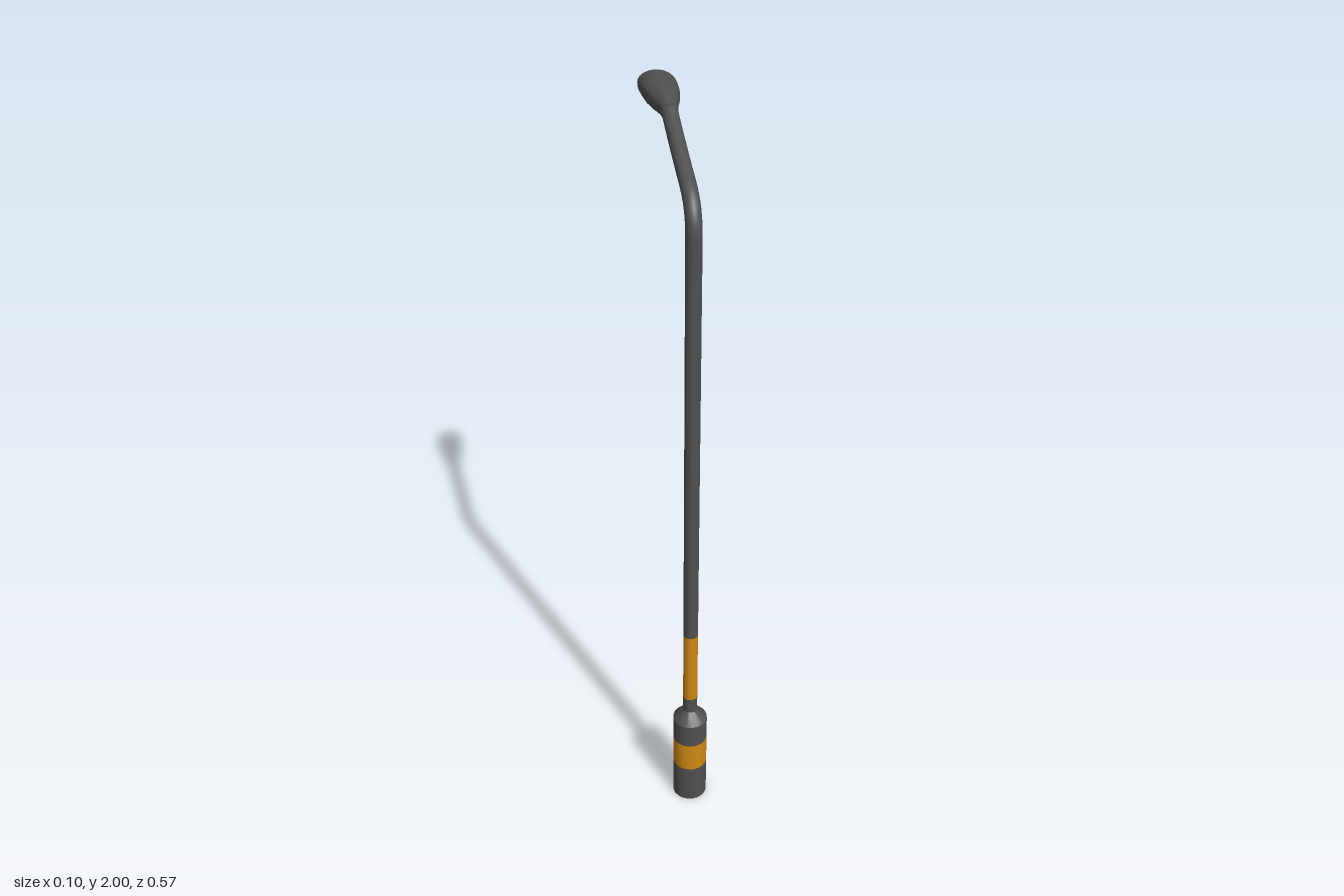
import * as THREE from 'three';
import { toCreasedNormals } from 'three/addons/utils/BufferGeometryUtils.js';

const POLE_Z = 0.235;
const POLE_R = 0.02;
const BASE_R = 0.048;

const dark = new THREE.MeshStandardMaterial({ color: 0x505050 });
const orange = new THREE.MeshStandardMaterial({ color: 0xd08a14 });

function addMesh(group, name, geometry, material, z = 0) {
  const mesh = new THREE.Mesh(geometry, material);
  mesh.name = name;
  mesh.position.z = z;
  group.add(mesh);
}

// Turned part from [radius, height] pairs
function turned(profile, sides) {
  const points = profile.map(([r, y]) => new THREE.Vector2(r, y));
  return toCreasedNormals(new THREE.LatheGeometry(points, sides), 0.5);
}

// One closed lamp-head section, with an optional recess of depth d in its flat underside
function headSection({ z, w, top, bottom, d }) {
  const mid = bottom + (top - bottom) * 0.48;
  const points = [];
  const arc = (from, to, steps, halfWidth, height, cx) => {
    for (let i = 0; i <= steps; i++) {
      const a = from + ((to - from) * i) / steps;
      points.push([cx + halfWidth * Math.cos(a), mid + height * Math.sin(a), z]);
    }
  };
  const round = w * 0.3;
  arc(0, Math.PI, 12, w, top - mid, 0);
  arc(Math.PI * 1.1, Math.PI * 1.5, 4, round, mid - bottom, round - w);
  const rim = w * 0.68, inner = w * 0.64;
  points.push([-rim, bottom, z], [-inner, bottom + d, z], [inner, bottom + d, z], [rim, bottom, z]);
  arc(Math.PI * 1.5, Math.PI * 1.9, 4, round, mid - bottom, w - round);
  return points;
}

// Joins the sections from neck to tip and closes both ends
function headGeometry() {
  const rows = [
    // z, half width, top, bottom, recess depth
    [-0.055, 0.020, 1.985, 1.944, 0],
    [-0.080, 0.0235, 1.992, 1.947, 0],
    [-0.105, 0.031, 1.996, 1.947, 0],
    [-0.125, 0.037, 1.998, 1.946, 0],
    [-0.130, 0.038, 1.998, 1.946, 0.012],
    [-0.160, 0.0435, 2.000, 1.945, 0.015],
    [-0.200, 0.047, 2.000, 1.945, 0.015],
    [-0.240, 0.048, 1.999, 1.945, 0.015],
    [-0.257, 0.0455, 1.997, 1.945, 0.012],
    [-0.262, 0.044, 1.996, 1.945, 0],
    [-0.274, 0.036, 1.992, 1.947, 0],
    [-0.281, 0.024, 1.988, 1.951, 0],
    [-0.284, 0.011, 1.982, 1.957, 0],
  ];
  const sections = rows.map(([z, w, top, bottom, d]) => headSection({ z, w, top, bottom, d }));
  const n = sections[0].length;
  const index = [];
  for (let s = 0; s < sections.length - 1; s++) {
    for (let i = 0; i < n; i++) {
      const a = s * n + i, b = s * n + ((i + 1) % n);
      index.push(a, a + n, b, b, a + n, b + n);
    }
  }
  const last = (sections.length - 1) * n;
  for (let i = 1; i < n - 1; i++) {
    index.push(0, i, i + 1);
    index.push(last, last + i + 1, last + i);
  }
  const geometry = new THREE.BufferGeometry();
  geometry.setAttribute('position', new THREE.Float32BufferAttribute(sections.flat(2), 3));
  geometry.setIndex(index);
  return toCreasedNormals(geometry, 0.7);
}

export function createModel() {
  const model = new THREE.Group();
  model.name = 'streetLamp';

  // Base: closed foot, painted band, shouldered top
  addMesh(model, 'baseFoot', turned([[0, 0], [BASE_R, 0], [BASE_R, 0.12]], 20), dark, POLE_Z);
  addMesh(model, 'baseBand', turned([[BASE_R, 0.12], [BASE_R, 0.212]], 20), orange, POLE_Z);
  addMesh(model, 'baseShoulder',
    turned([[BASE_R, 0.212], [BASE_R, 0.285], [POLE_R, 0.317], [POLE_R, 0.365]], 20), dark, POLE_Z);

  // Pole: painted sleeve, then the long shaft
  addMesh(model, 'poleBand', turned([[POLE_R, 0.365], [POLE_R, 0.59]], 20), orange, POLE_Z);
  addMesh(model, 'poleShaft', turned([[POLE_R, 0.59], [POLE_R, 1.77]], 20), dark, POLE_Z);

  // Arm: bends over from the pole and levels out at the head
  const path = new THREE.CatmullRomCurve3([
    [1.755, POLE_Z], [1.785, 0.2345], [1.815, 0.228], [1.843, 0.211], [1.864, 0.182],
    [1.879, 0.145], [1.893, 0.105], [1.922, 0.03], [1.949, -0.035], [1.961, -0.06], [1.967, -0.085],
  ].map(([y, z]) => new THREE.Vector3(0, y, z)));
  addMesh(model, 'arm', new THREE.TubeGeometry(path, 40, POLE_R, 20), dark);

  // Lamp head with a recessed underside
  addMesh(model, 'lampHead', headGeometry(), dark);

  return model;
}
